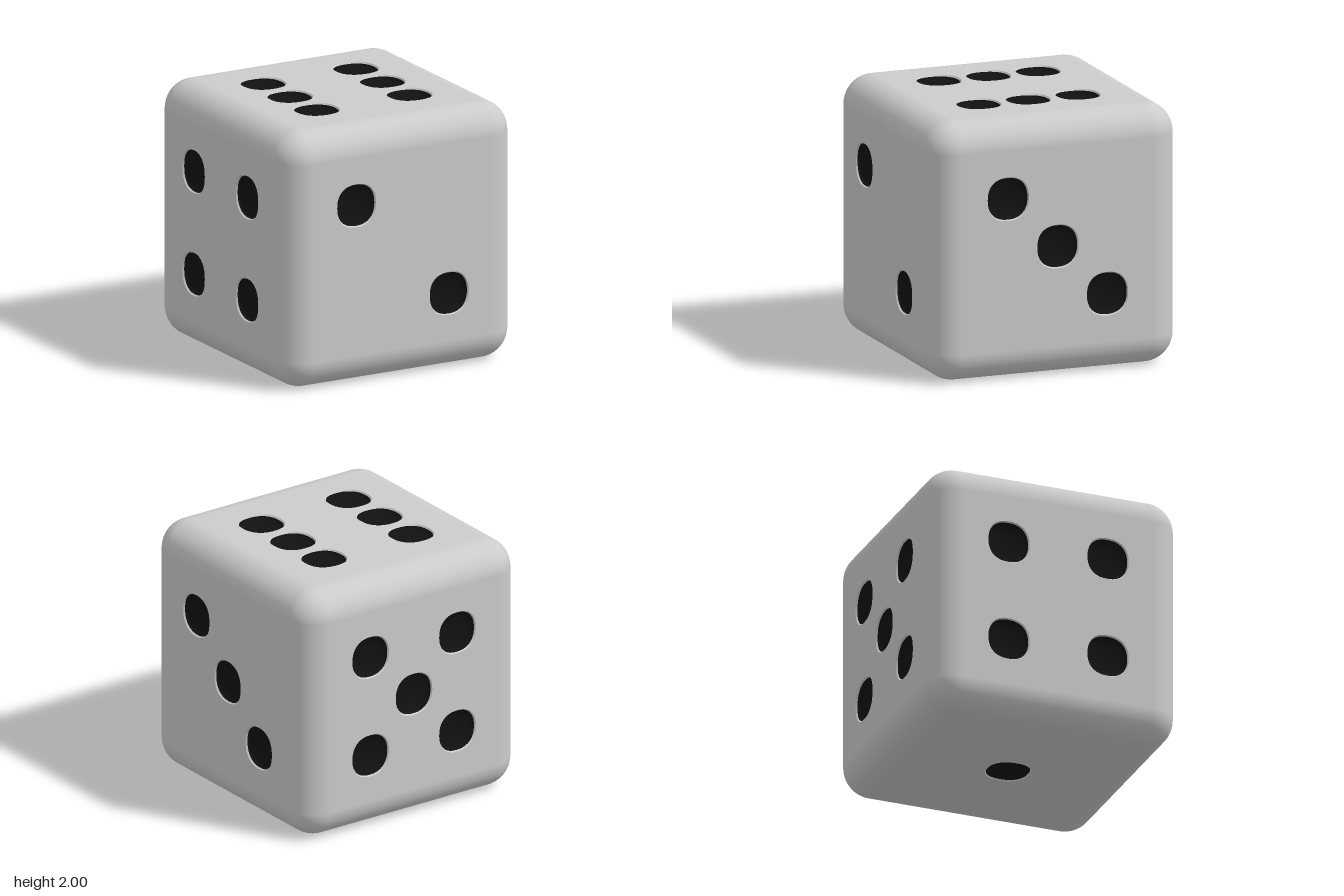
import * as THREE from 'three';
import { mergeGeometries } from 'three/addons/utils/BufferGeometryUtils.js';

const R = 0.23, FLAT = 1 - R;      // edge radius, half width of the flat faces
const LIP = 0.168, PIP = 0.16, SEG = 48;
const Q = Math.PI / 2;

// Slightly squared circle: scale factor at an angle
const squircle = (a) => (Math.abs(Math.cos(a)) ** 2.35 + Math.abs(Math.sin(a)) ** 2.35) ** (-1 / 2.35);

// Turned profile with the squared outline, opening towards +z
function dish(points) {
  const g = new THREE.LatheGeometry(points.map(([x, y]) => new THREE.Vector2(x, y)), SEG);
  const p = g.attributes.position;
  for (let i = 0; i < p.count; i++) {
    const s = squircle(Math.atan2(p.getX(i), p.getZ(i)));
    p.setX(i, p.getX(i) * s);
    p.setZ(i, p.getZ(i) * s);
  }
  g.computeVertexNormals();
  return g.rotateX(Q);
}

// Flat square face with a hole for each pip
function flatFace(spots) {
  const shape = new THREE.Shape([[-1, -1], [1, -1], [1, 1], [-1, 1]]
    .map(([x, y]) => new THREE.Vector2(x * FLAT, y * FLAT)));
  for (const [x, y] of spots) {
    const pts = [];
    for (let i = 0; i < SEG; i++) {
      const a = -i / SEG * Math.PI * 2, r = LIP * squircle(a);
      pts.push(new THREE.Vector2(x + r * Math.cos(a), y + r * Math.sin(a)));
    }
    shape.holes.push(new THREE.Path(pts));
  }
  return new THREE.ShapeGeometry(shape);
}

export function createModel() {
  const model = new THREE.Group();
  model.name = 'die';
  const grey = new THREE.MeshStandardMaterial({ color: 0xcccccc });
  const black = new THREE.MeshStandardMaterial({ color: 0x111111 });
  const body = [];

  // Rounded edges: four quarter cylinders along each axis
  for (const axis of ['y', 'x', 'z']) {
    for (let k = 0; k < 4; k++) {
      const g = new THREE.CylinderGeometry(R, R, 2 * FLAT, 12, 1, true, 0, Q)
        .translate(FLAT, 0, FLAT).rotateY(k * Q);
      if (axis === 'x') g.rotateZ(Q);
      if (axis === 'z') g.rotateX(Q);
      body.push(g);
    }
  }

  // Rounded corners: eight sphere octants
  for (const top of [true, false]) {
    for (let k = 0; k < 4; k++) {
      body.push(new THREE.SphereGeometry(R, 12, 12, Q, Q, top ? 0 : Q, Q)
        .translate(FLAT, top ? FLAT : -FLAT, FLAT).rotateY(k * Q));
    }
  }

  // Faces: turn about x, turn about y, pip positions as seen from outside
  const c = 0.4;
  const diagonal = [[-c, c], [c, -c]];
  const four = [...diagonal, [c, c], [-c, -c]];
  const faces = [
    ['front', 0, 0, diagonal],
    ['right', 0, Q, [...diagonal, [0, 0]]],
    ['back', 0, 2 * Q, [...four, [0, 0]]],
    ['left', 0, -Q, four],
    ['top', -Q, 0, [...four, [-c, 0], [c, 0]]],
    ['bottom', Q, 0, [[0, 0]]],
  ];

  // Grey lip around each dent, and the shallow black bowl
  const lip = dish([[LIP, 0], [PIP, -0.012]]);
  const bowlProfile = [];
  for (let i = 0; i <= 8; i++) {
    const a = i / 8 * Q;
    bowlProfile.push([i === 8 ? 0 : PIP * Math.cos(a), -0.012 - 0.05 * Math.sin(a)]);
  }
  const bowl = dish(bowlProfile);

  for (const [name, rx, ry, spots] of faces) {
    const place = (g, x, y) => g.translate(x, y, 1).rotateX(rx).rotateY(ry);
    body.push(place(flatFace(spots), 0, 0));
    for (const [x, y] of spots) body.push(place(lip.clone(), x, y));
    const pips = new THREE.Mesh(
      mergeGeometries(spots.map(([x, y]) => place(bowl.clone(), x, y))), black);
    pips.name = name + 'Pips';
    model.add(pips);
  }

  const cube = new THREE.Mesh(mergeGeometries(body), grey);
  cube.name = 'roundedCube';
  model.add(cube);
  for (const part of model.children) part.position.y = 1;
  return model;
}
